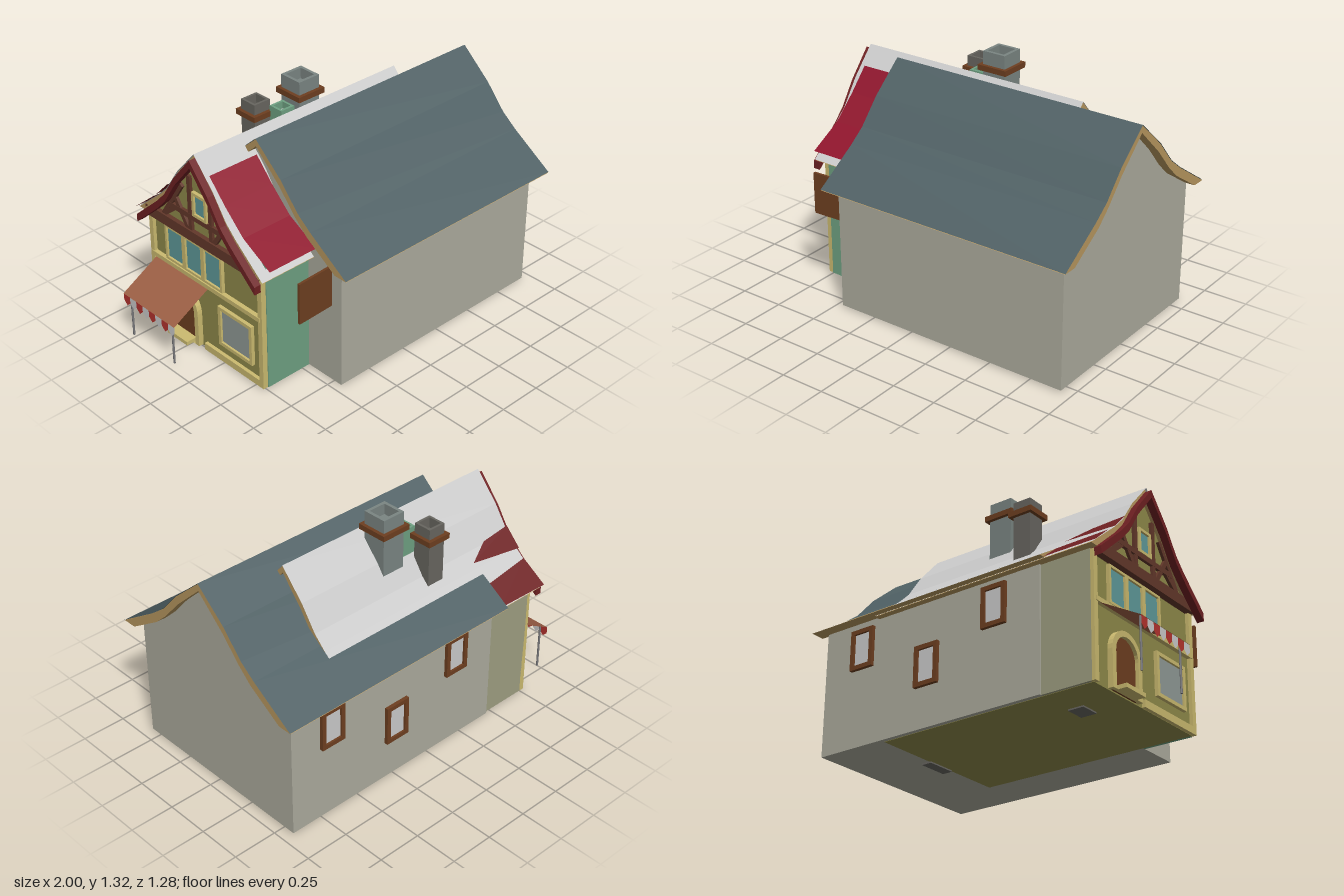
import * as THREE from 'three';

const C = {
  wall: 0xadac9e, roof: 0x4f6064, tan: 0xb8985f, grey: 0xcccccc, red: 0x8f142c, darkRed: 0x6e2022,
  brown: 0x6e3f20, timber: 0x63382a, olive: 0x8f8a4a, cream: 0xccbb70, green: 0x6fa182, sideWall: 0x9f9f82,
  teal: 0x5f9a9a, awning: 0x9c5f45, stone: 0x7b8683, darkStone: 0x686660, metal: 0x77777a, glass: 0x909a96,
};
const mat = (color, side = THREE.FrontSide) =>
  new THREE.MeshStandardMaterial({ color, flatShading: true, side });

// Half profiles of the flared roof: [distance from ridge, height]
const OUTER = [[0.64, 0.705], [0.39, 0.87], [0.3, 0.94], [0.18, 1.077], [0, 1.235]];
const INNER = [[0.56, 0.705], [0.36, 0.835], [0.28, 0.91], [0.17, 1.035], [0, 1.195]];
const small = p => p.map(([d, y]) => [d * 0.76, 0.695 + (y - 0.705) * 0.97]);
const S_OUTER = small(OUTER), S_INNER = small(INNER), S_Z = -0.125;
// Both slopes from +z eave over the ridge to -z eave
const both = (p, zc = 0) => [
  ...p.map(([d, y]) => [zc + d, y]),
  ...p.slice(0, -1).reverse().map(([d, y]) => [zc - d, y])];
function shopRoofY(z) {
  const d = Math.abs(z - S_Z);
  for (let i = 0; i < S_OUTER.length - 1; i++) {
    const [a, ya] = S_OUTER[i], [b, yb] = S_OUTER[i + 1];
    if (d >= b) return yb + (ya - yb) * (d - b) / (a - b);
  }
}

export function createModel() {
  const root = new THREE.Group();
  const add = (name, geo, color, side, parent = root) => {
    const m = new THREE.Mesh(geo, mat(color, side));
    m.name = name;
    parent.add(m);
    return m;
  };
  // Box given by its min and max corners
  const box = (name, color, x0, x1, y0, y1, z0, z1) => {
    const m = add(name, new THREE.BoxGeometry(x1 - x0, y1 - y0, z1 - z0), color);
    m.position.set((x0 + x1) / 2, (y0 + y1) / 2, (z0 + z1) / 2);
    return m;
  };
  // Prism: [z, y] outline swept along x
  const prism = (name, color, pts, x0, x1) => {
    const s = new THREE.Shape(pts.map(([z, y]) => new THREE.Vector2(-z, y)));
    const g = new THREE.ExtrudeGeometry(s, { depth: x1 - x0, bevelEnabled: false });
    return add(name, g.rotateY(Math.PI / 2).translate(x0, 0, 0), color);
  };
  // Thin sheet: [z, y] line swept along x
  const sheet = (name, color, pts, x0, x1) => {
    const v = [], idx = [];
    pts.forEach(([z, y], i) => {
      v.push(x0, y, z, x1, y, z);
      if (i) { const a = 2 * i - 2; idx.push(a, a + 2, a + 1, a + 1, a + 2, a + 3); }
    });
    const g = new THREE.BufferGeometry();
    g.setAttribute('position', new THREE.Float32BufferAttribute(v, 3));
    g.setIndex(idx);
    const flat = g.toNonIndexed();
    flat.computeVertexNormals();
    return add(name, flat, color, THREE.DoubleSide);
  };
  const lift = (pts, h) => pts.map(([z, y]) => [z, y + h]);

  // Main house and roof
  prism('mainWalls', C.wall, [[0.56, 0.01], ...both(INNER), [-0.56, 0.705], [-0.575, 0.705], [-0.575, 0.01]], -0.46, 0.94);
  prism('mainRoofBoards', C.tan, [...both(OUTER), ...both(INNER).reverse()], -0.508, 0.998);
  sheet('mainRoofTiles', C.roof, lift(both(OUTER), 0.003), -0.51, 1);

  // Shop wing running through the house
  prism('shopWalls', C.olive, [[0.3, 0.008], ...both(S_INNER, S_Z), [-0.55, 0.008]], -0.75, 0.53);
  prism('shopRoofBoards', C.tan, [...both(S_OUTER, S_Z), ...both(S_INNER, S_Z).reverse()], -0.79, 0.578);
  sheet('shopRoofTiles', C.grey, lift(both(S_OUTER, S_Z), 0.003), -0.8, 0.58);
  box('shopFrontWall', C.green, -0.74, -0.46, 0.01, 0.77, 0.295, 0.32);
  box('shopBackWall', C.sideWall, -0.75, -0.46, 0.01, 0.7, -0.565, -0.545);
  prism('gableEndPanel', C.grey, [[0.2, 0.7], ...both(S_INNER, S_Z).slice(1, -1), [-0.45, 0.7]], 0.53, 0.545);

  // Red roof patches
  sheet('frontRedTiles', C.red, [[0.39, 0.765], [0.2, 0.87], [0.07, 0.995], [-0.04, 1.117]], -0.775, -0.47);
  const patches = [
    [[-0.82, -0.615], [-0.49, -0.61], [-0.49, -0.505], [-0.8, -0.48]],
    [[-0.81, -0.435], [-0.49, -0.403], [-0.62, -0.35], [-0.81, -0.34]]];
  for (const p of patches) {
    const g = new THREE.ShapeGeometry(new THREE.Shape(p.map(([x, z]) => new THREE.Vector2(x, -z))));
    g.rotateX(-Math.PI / 2);
    const a = g.attributes.position;
    for (let i = 0; i < a.count; i++) a.setY(i, shopRoofY(a.getZ(i)) + 0.01);
    g.computeVertexNormals();
    add('backRedTiles', g, C.darkRed, THREE.DoubleSide);
  }
  // Bargeboards on the shop gable
  const barge = lift(both(S_OUTER, S_Z), -0.02).map(([z, y]) => [S_Z + (z - S_Z) * 0.95, y]);
  prism('shopBargeboard', C.darkRed, [...barge, ...lift(barge, -0.045).reverse()], -0.83, -0.79);

  // Chimneys: hollow stack with a collar
  const tube = (name, color, x, z, w, hole, y0, y1) => {
    const sq = (P, h) => new P([[-h, -h], [h, -h], [h, h], [-h, h]].map(q => new THREE.Vector2(...q)));
    const s = sq(THREE.Shape, w / 2);
    s.holes.push(sq(THREE.Path, hole / 2));
    const g = new THREE.ExtrudeGeometry(s, { depth: y1 - y0, bevelEnabled: false });
    add(name, g.rotateX(-Math.PI / 2).translate(x, y0, z), color);
  };
  const chimney = (color, collar, x, z, w, y1, yc) => {
    tube('chimneyStack', color, x, z, w, w * 0.74, 0.8, y1);
    tube('chimneyCollar', collar, x, z, w + 0.04, w - 0.01, yc, yc + 0.03);
    box('chimneyFill', color, x - w * 0.38, x + w * 0.38, 0.8, y1 - 0.06, z - w * 0.38, z + w * 0.38);
  };
  chimney(C.stone, C.brown, 0, -0.232, 0.138, 1.325, 1.222);
  chimney(C.darkStone, C.brown, -0.212, -0.342, 0.105, 1.217, 1.13);
  tube('smallChimney', C.green, -0.128, -0.232, 0.09, 0.062, 0.85, 1.19);
  box('smallChimneyFill', C.grey, -0.16, -0.096, 0.85, 1.15, -0.264, -0.2);

  // Framed windows
  const windowAt = (name, w, h, bar, frame, pane, x, y, z, rotY) => {
    const g = new THREE.Group();
    g.name = name;
    const r = (P, a, b) => new P([[-a, -b], [a, -b], [a, b], [-a, b]].map(q => new THREE.Vector2(...q)));
    const s = r(THREE.Shape, w / 2, h / 2);
    s.holes.push(r(THREE.Path, w / 2 - bar, h / 2 - bar));
    add('windowFrame', new THREE.ExtrudeGeometry(s, { depth: 0.02, bevelEnabled: false }), frame, undefined, g);
    add('windowPane', new THREE.BoxGeometry(w - bar, h - bar, 0.008), pane, undefined, g).position.z = 0.004;
    g.position.set(x, y, z);
    g.rotation.y = rotY;
    root.add(g);
  };
  for (const [x, y] of [[0.68, 0.55], [0.24, 0.345], [-0.185, 0.55]])
    windowAt('backWindow', 0.15, 0.225, 0.024, C.brown, C.grey, x, y, -0.575, Math.PI);
  for (const z of [-0.36, -0.21, -0.06])
    windowAt('upperShopWindow', 0.15, 0.21, 0.014, C.cream, C.teal, -0.752, 0.555, z, -Math.PI / 2);
  windowAt('gableWindow', 0.11, 0.14, 0.016, C.cream, C.teal, -0.765, 0.9, S_Z, -Math.PI / 2);
  windowAt('shopWindow', 0.26, 0.24, 0.02, C.cream, C.glass, -0.75, 0.23, 0.1, -Math.PI / 2);

  // Half-timbering on the shop front
  prism('gablePanel', C.olive, [[0.28, 0.7], ...both(S_INNER, S_Z).slice(1, -1), [-0.53, 0.7]], -0.765, -0.75);
  box('gableBeam', C.timber, -0.79, -0.75, 0.675, 0.735, -0.56, 0.31);
  box('gableUpperBeam', C.timber, -0.782, -0.75, 0.8, 0.83, -0.37, 0.12);
  const brace = (z0, y0, z1, y1) => {
    const dz = z1 - z0, dy = y1 - y0;
    const m = add('timberBrace', new THREE.BoxGeometry(0.03, Math.hypot(dz, dy), 0.026), C.timber);
    m.position.set(-0.766, (y0 + y1) / 2, (z0 + z1) / 2);
    m.rotation.x = Math.atan2(dz, dy);
  };
  for (const s of [-1, 1]) {
    brace(S_Z + s * 0.08, 0.73, S_Z + s * 0.08, 1.05);
    brace(S_Z + s * 0.1, 0.73, S_Z + s * 0.2, 0.88);
    brace(S_Z + s * 0.3, 0.73, S_Z + s * 0.2, 0.81);
    brace(S_Z + s * 0.3, 0.73, S_Z + s * 0.14, 0.97);
  }
  // Corner posts that lean outward at the top
  for (const z of [-0.55, 0.3])
    prism('cornerPost', C.cream, [[z - 0.015, 0.01], [z + 0.015, 0.01], [z + 0.015, 0.69], [z - 0.015, 0.69]], -0.77, -0.74);
  box('frontRail', C.cream, -0.775, -0.75, 0.42, 0.445, -0.55, 0.3);
  box('frontSill', C.cream, -0.77, -0.75, 0.01, 0.05, -0.15, 0.3);

  // Arched door with frame and step
  const arch = (P, r, h) => {
    const s = new P();
    s.moveTo(-r, 0); s.lineTo(r, 0); s.lineTo(r, h);
    s.absarc(0, h, r, 0, Math.PI, false);
    s.lineTo(-r, 0);
    return s;
  };
  const archMesh = (name, s, depth, color) => {
    const g = new THREE.ExtrudeGeometry(s, { depth, bevelEnabled: false, curveSegments: 8 });
    add(name, g.rotateY(-Math.PI / 2).translate(-0.75, 0.015, -0.31), color);
  };
  const frame = arch(THREE.Shape, 0.125, 0.2);
  frame.holes.push(arch(THREE.Path, 0.095, 0.2));
  archMesh('doorFrame', frame, 0.03, C.cream);
  archMesh('door', arch(THREE.Shape, 0.1, 0.2), 0.01, C.brown);
  box('doorStep', C.cream, -0.825, -0.75, 0.018, 0.04, -0.39, -0.23);

  // Awning with pointed valance and poles
  sheet('awning', C.awning, [[0, 0], [0.42, 0]], 0, 1).geometry.applyMatrix4(
    new THREE.Matrix4().set(0.23, 0, 0, -1, 0.13, 1, 0, 0.29, 0, 0, 1, -0.52, 0, 0, 0, 1));
  const n = 8, step = 0.42 / n;
  for (let i = 0; i < n; i++) {
    const t = new THREE.Shape([[0, 0], [0, -0.04], [step / 2, -0.065], [step, -0.04], [step, 0]].map(q => new THREE.Vector2(...q)));
    const g = new THREE.ShapeGeometry(t).rotateY(-Math.PI / 2).translate(-0.998, 0.29, -0.52 + i * step);
    add('awningValance', g, i % 2 ? C.grey : 0xb5332e, THREE.DoubleSide);
  }
  for (const z of [-0.49, -0.15])
    add('awningPole', new THREE.CylinderGeometry(0.006, 0.006, 0.275, 8), C.metal).position.set(-0.973, 0.165, z);

  // Hanging board and ground slabs
  box('hangingBoard', C.brown, -0.685, -0.46, 0.47, 0.705, 0.482, 0.496).rotation.y = 0.04;
  box('groundSlab', C.darkStone, 0.52, 0.58, 0, 0.012, -0.2, -0.03);
  box('groundSlab', C.darkStone, -0.55, -0.46, 0, 0.012, -0.35, -0.24);
  return root;
}
